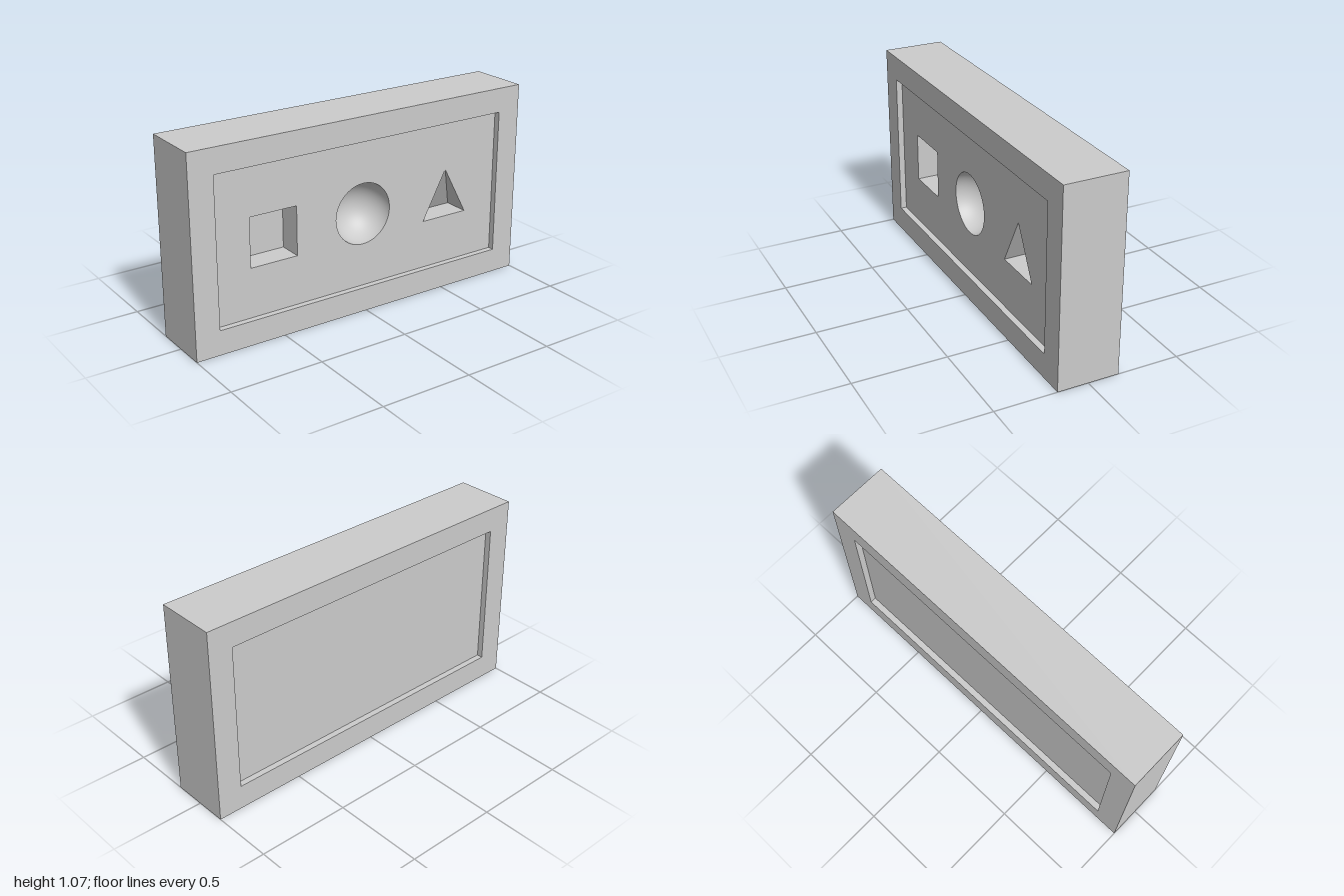
import * as THREE from 'three';

const U = 1 / 15; // design unit
const W = 30 * U, H = 16 * U, D = 5 * U;
const CY = H / 2;            // centre height
const FLOOR = D / 2 - U / 2; // z of the sunken panels
const material = new THREE.MeshStandardMaterial({ color: 0xcccccc });

function rect(w, h, Type = THREE.Shape, x = 0) {
  const p = new Type();
  p.moveTo(x - w / 2, -h / 2);
  p.lineTo(x + w / 2, -h / 2);
  p.lineTo(x + w / 2, h / 2);
  p.lineTo(x - w / 2, h / 2);
  p.closePath();
  return p;
}

// Flat-faced surface from polygons with counter-clockwise corners
function faceted(polygons) {
  const pos = [];
  for (const p of polygons)
    for (let i = 1; i < p.length - 1; i++) pos.push(...p[0], ...p[i], ...p[i + 1]);
  const g = new THREE.BufferGeometry();
  g.setAttribute('position', new THREE.Float32BufferAttribute(pos, 3));
  g.computeVertexNormals();
  return g;
}

export function createModel() {
  const group = new THREE.Group();
  const add = (name, geometry, x, z) => {
    const mesh = new THREE.Mesh(geometry, material);
    mesh.name = name;
    mesh.position.set(x, CY, z);
    group.add(mesh);
    return mesh;
  };

  const panelW = W - 4 * U, panelH = H - 4 * U;
  const cube = 4 * U, ball = 2.5 * U, pyramidHalf = 3 * U * Math.SQRT1_2, pyramidH = 4 * U;
  const offset = 8 * U;

  // Block with a raised border on both sides
  const border = rect(W, H);
  border.holes.push(rect(panelW, panelH, THREE.Path));
  add('frame', new THREE.ExtrudeGeometry(border, { depth: D, bevelEnabled: false }), 0, -D / 2);

  // Sunken front panel with three openings
  const panel = rect(panelW, panelH);
  const circle = new THREE.Path().absarc(0, 0, ball, 0, Math.PI * 2, true);
  const triangle = new THREE.Path();
  triangle.moveTo(offset - pyramidHalf, -pyramidH / 2);
  triangle.lineTo(offset + pyramidHalf, -pyramidH / 2);
  triangle.lineTo(offset, pyramidH / 2);
  triangle.closePath();
  panel.holes.push(rect(cube, cube, THREE.Path, -offset), circle, triangle);
  add('frontPanel', new THREE.ShapeGeometry(panel, 32), 0, FLOOR);

  // Plain sunken back panel
  add('backPanel', new THREE.PlaneGeometry(panelW, panelH), 0, -FLOOR).rotation.y = Math.PI;

  // Half-cube pocket: four walls and a floor
  const c = cube / 2;
  const corners = [[-c, -c], [c, -c], [c, c], [-c, c]];
  const walls = corners.map((a, i) => {
    const b = corners[(i + 1) % 4];
    return [[...a, 0], [...b, 0], [...b, -c], [...a, -c]];
  });
  add('cubePocket', faceted([...walls, corners.map(p => [...p, -c])]), -offset, FLOOR);

  // Hemisphere pocket: profile runs rim to pole so it faces inward
  const profile = [];
  for (let i = 0; i <= 24; i++) {
    const t = (i / 24) * Math.PI / 2;
    profile.push(new THREE.Vector2(ball * Math.cos(t), -ball * Math.sin(t)));
  }
  add('spherePocket', new THREE.LatheGeometry(profile, 64).rotateX(Math.PI / 2), 0, FLOOR);

  // Half-pyramid pocket: level base, two side walls and a sloping back
  const s = pyramidHalf, y = -pyramidH / 2;
  const apex = [0, pyramidH / 2, 0];
  const fl = [-s, y, 0], fr = [s, y, 0], bl = [-s, y, -s], br = [s, y, -s];
  add('pyramidPocket', faceted([
    [fl, fr, br, bl], [bl, br, apex], [fl, bl, apex], [br, fr, apex],
  ]), offset, FLOOR);

  return group;
}
